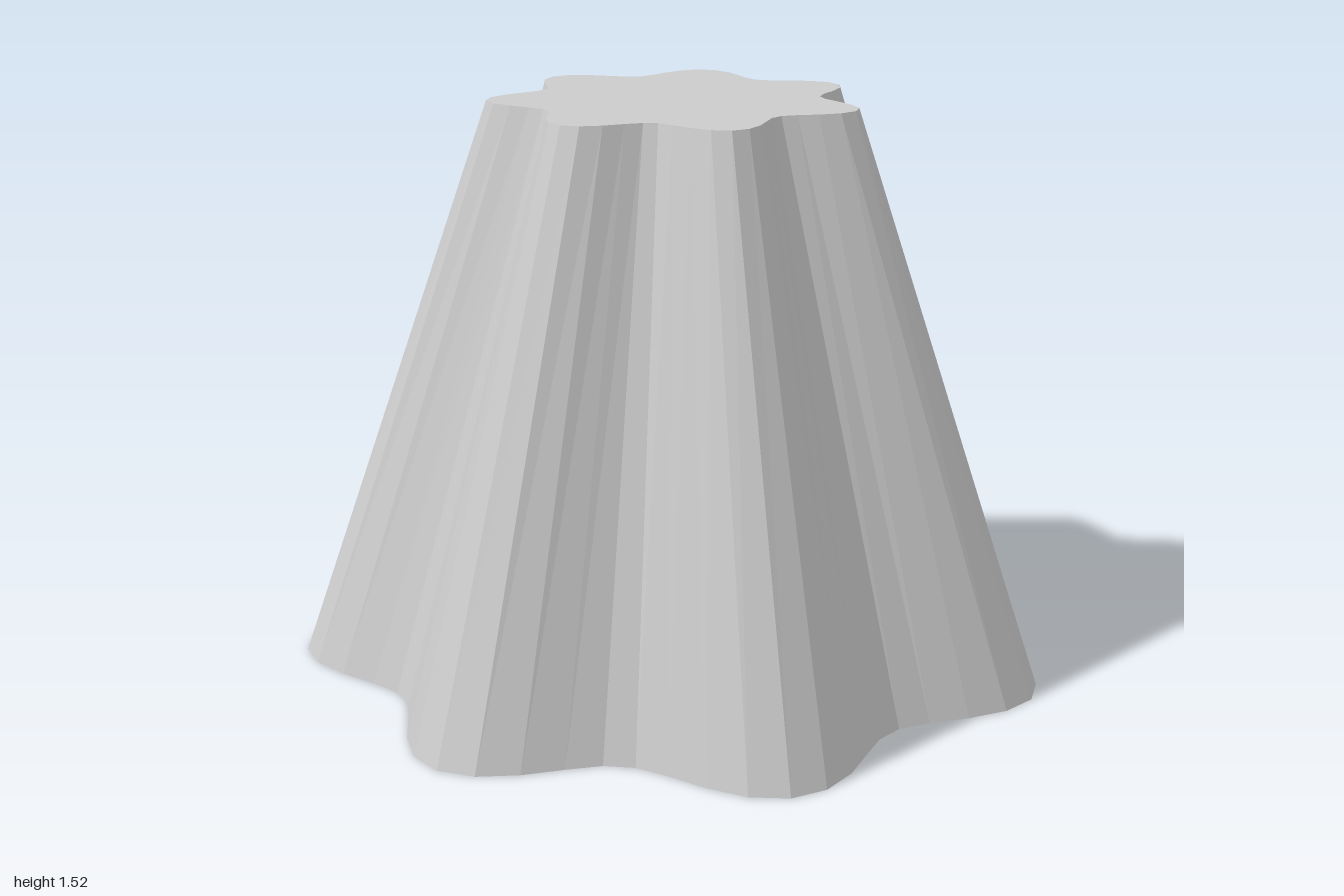
import * as THREE from 'three';

const LOBES = 7;
const HEIGHT = 1.52;
const CENTRE_X = 0.042;
const BOTTOM = { radius: 0.9215, wave: 0.1 };
const TOP = { radius: 0.437, wave: 0.06 };

// Closed tapered cylinder whose rims ripple in and out
function flutedCone() {
  const geometry = new THREE.CylinderGeometry(1, 1, HEIGHT, 64, 1);
  geometry.translate(0, HEIGHT / 2, 0);
  const pos = geometry.attributes.position;
  for (let i = 0; i < pos.count; i++) {
    const x = pos.getX(i), z = pos.getZ(i);
    if (Math.hypot(x, z) < 0.5) continue; // cap centres stay put
    const rim = pos.getY(i) > HEIGHT / 2 ? TOP : BOTTOM;
    // one lobe points to -x
    const r = rim.radius + rim.wave * Math.cos(LOBES * Math.atan2(z, -x));
    pos.setX(i, x * r);
    pos.setZ(i, z * r);
  }
  geometry.computeVertexNormals();
  return geometry;
}

export function createModel() {
  const group = new THREE.Group();
  const material = new THREE.MeshStandardMaterial({ color: 0xcccccc, flatShading: true });
  const body = new THREE.Mesh(flutedCone(), material);
  body.name = 'flutedBody';
  body.position.x = CENTRE_X;
  group.add(body);
  return group;
}
